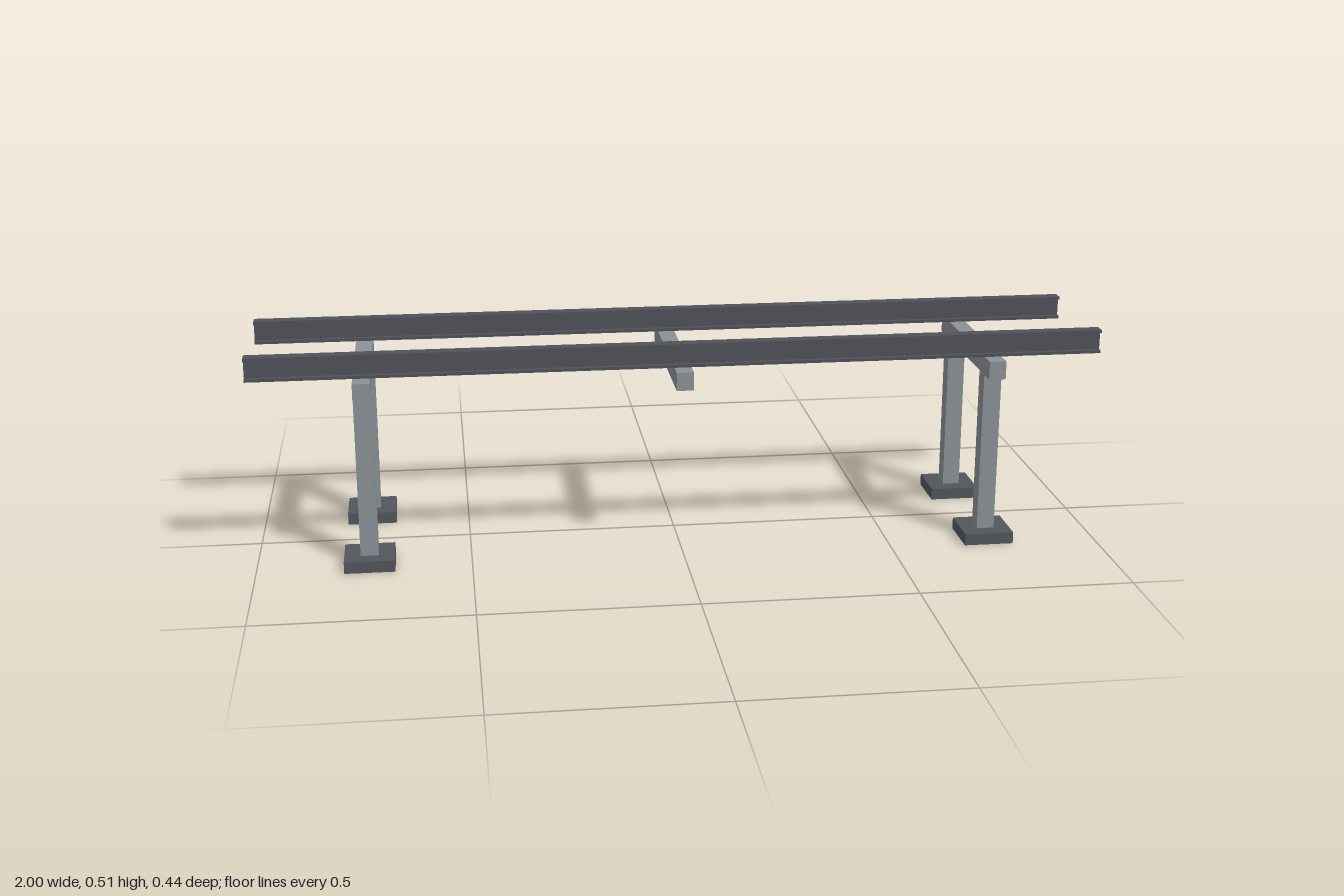
import * as THREE from 'three';

const steel = new THREE.MeshStandardMaterial({ color: 0x8a9195 });
steel.name = 'grey steel';
const railDark = new THREE.MeshStandardMaterial({ color: 0x505159 });
railDark.name = 'dark rail steel';
const footDark = new THREE.MeshStandardMaterial({ color: 0x52565d });
footDark.name = 'dark footing';

const RAIL_Z = 0.163;   // rails, columns and footings share this line
const TRESTLE_X = 0.738;

function box(name, material, size, position) {
  const mesh = new THREE.Mesh(new THREE.BoxGeometry(...size), material);
  mesh.name = name;
  mesh.position.set(...position);
  return mesh;
}

// I-section profile: half flange width f, half web w, height h, flange thickness t
function railGeometry(length) {
  const f = 0.0152, w = 0.0032, h = 0.056, t = 0.007;
  const half = [[f, 0], [f, t], [w, t], [w, h - t], [f, h - t], [f, h]];
  const mirrored = half.map(([x, y]) => [-x, y]).reverse();
  const shape = new THREE.Shape([...half, ...mirrored].map(([x, y]) => new THREE.Vector2(x, y)));
  const geometry = new THREE.ExtrudeGeometry(shape, { depth: length, bevelEnabled: false });
  geometry.translate(0, 0, -length / 2);
  geometry.rotateY(Math.PI / 2);
  return geometry;
}

export function createModel() {
  const model = new THREE.Group();
  model.name = 'railTrestle';

  // Two long I-beam rails
  const railGeo = railGeometry(2);
  for (const side of [1, -1]) {
    const rail = new THREE.Mesh(railGeo, railDark);
    rail.name = side > 0 ? 'frontRail' : 'backRail';
    rail.position.set(0, 0.457, side * RAIL_Z);
    model.add(rail);
  }

  // Cross beams under the rails: one at each trestle and one in the middle
  for (const x of [-TRESTLE_X, 0, TRESTLE_X]) {
    model.add(box('crossBeam', steel, [0.04, 0.043, 0.444], [x, 0.4355, 0]));
  }

  // Four columns standing on square footings
  for (const x of [-TRESTLE_X, TRESTLE_X]) {
    for (const side of [1, -1]) {
      const leg = new THREE.Group();
      leg.name = 'leg';
      leg.position.set(x, 0, side * RAIL_Z);
      leg.add(box('footing', footDark, [0.118, 0.028, 0.118], [0, 0.014, 0]));
      leg.add(box('column', steel, [0.042, 0.386, 0.042], [0, 0.221, 0]));
      model.add(leg);
    }
  }
  return model;
}
